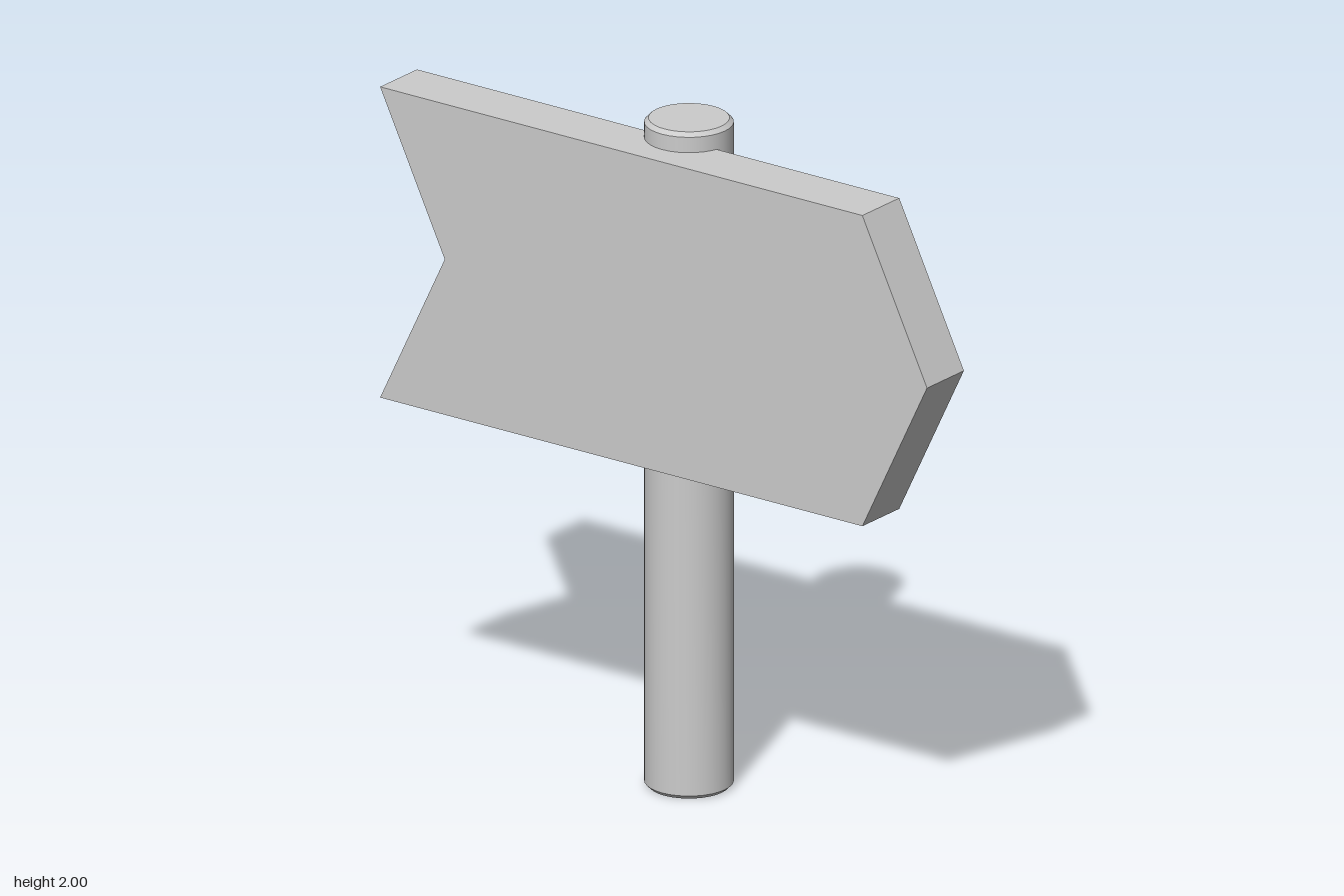
import * as THREE from 'three';
import { toCreasedNormals } from 'three/addons/utils/BufferGeometryUtils.js';

export function createModel() {
  const group = new THREE.Group();
  const material = new THREE.MeshStandardMaterial({ color: 0xcccccc });

  // Round post with small chamfers at both ends
  const radius = 0.126, height = 2, bevel = 0.012;
  const profile = [
    [0, 0], [radius - bevel, 0], [radius, bevel],
    [radius, height - bevel], [radius - bevel, height], [0, height],
  ].map(([x, y]) => new THREE.Vector2(x, y));
  const post = new THREE.Mesh(
    toCreasedNormals(new THREE.LatheGeometry(profile, 32), 0.6), material);
  post.name = 'post';
  post.position.set(-0.03, 0, -0.039);
  group.add(post);

  // Arrow-shaped board: point at +x, matching notch at -x
  const bottom = 1.01, top = 1.942, middle = (bottom + top) / 2;
  const tip = 0.96, shoulder = 0.733;
  const outline = new THREE.Shape([
    [-tip, bottom], [shoulder, bottom], [tip, middle],
    [shoulder, top], [-tip, top], [-shoulder, middle],
  ].map(([x, y]) => new THREE.Vector2(x, y)));
  const board = new THREE.Mesh(
    new THREE.ExtrudeGeometry(outline, { depth: 0.172, bevelEnabled: false }), material);
  board.name = 'arrowBoard';
  board.position.z = -0.006;
  group.add(board);

  return group;
}
